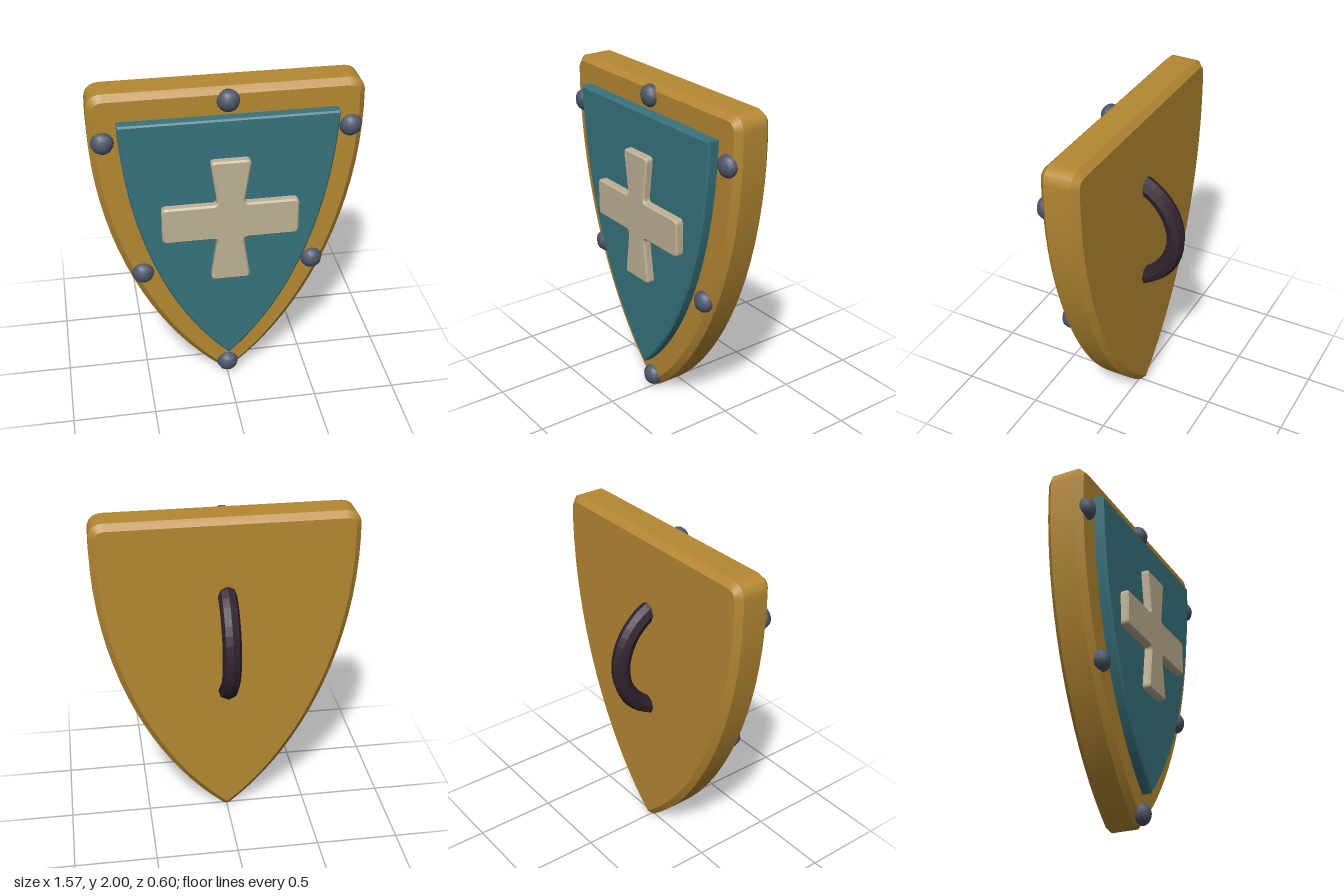
import * as THREE from 'three';
import { toCreasedNormals } from 'three/addons/utils/BufferGeometryUtils.js';

function material(name, color) {
  const m = new THREE.MeshStandardMaterial({ color });
  m.name = name;
  return m;
}

// Bevelled slab whose outer outline is the shape, spanning z0 to z1
function slab(shape, z0, z1, bevel, bevelBack) {
  const g = new THREE.ExtrudeGeometry(shape, {
    depth: z1 - z0 - bevel * (bevelBack ? 2 : 1), curveSegments: 18,
    bevelThickness: bevel, bevelSize: bevel, bevelOffset: -bevel, bevelSegments: 1,
  });
  g.translate(0, 0, z0 + (bevelBack ? bevel : 0));
  return toCreasedNormals(g, 0.45);
}

// Polygon with every corner rounded by radius r
function roundedShape(points, r) {
  const s = new THREE.Shape();
  points.forEach(([x, y], i) => {
    const p = new THREE.Vector2(x, y);
    const toward = ([a, b]) => new THREE.Vector2(a, b).sub(p).setLength(r).add(p);
    const a = toward(points[(i + points.length - 1) % points.length]);
    const b = toward(points[(i + 1) % points.length]);
    if (i === 0) s.moveTo(a.x, a.y); else s.lineTo(a.x, a.y);
    s.quadraticCurveTo(x, y, b.x, b.y);
  });
  s.closePath();
  return s;
}

export function createModel() {
  const group = new THREE.Group();
  const gold = material('gold', 0xb58832);
  const teal = material('teal', 0x37737d);
  const cream = material('cream', 0xbfb195);
  const steel = material('steel', 0x4f586a);
  const leather = material('dark leather', 0x32232f);
  const add = (name, geometry, mat) => {
    const mesh = new THREE.Mesh(geometry, mat);
    mesh.name = name;
    group.add(mesh);
    return mesh;
  };

  // Body: flat top with rounded shoulders, curved sides, blunt tip
  const body = new THREE.Shape();
  body.moveTo(-0.69, 2);
  body.lineTo(0.69, 2);
  body.bezierCurveTo(0.75, 2, 0.783, 1.965, 0.784, 1.91);
  body.lineTo(0.786, 1.82);
  body.bezierCurveTo(0.786, 1.07, 0.46, 0.37, 0.03, 0.015);
  body.quadraticCurveTo(0, -0.015, -0.03, 0.015);
  body.bezierCurveTo(-0.46, 0.37, -0.786, 1.07, -0.786, 1.82);
  body.lineTo(-0.784, 1.91);
  body.bezierCurveTo(-0.783, 1.965, -0.75, 2, -0.69, 2);
  add('body', slab(body, -0.045, 0.188, 0.036, true), gold);

  // Raised coloured field
  const field = new THREE.Shape();
  field.moveTo(-0.627, 1.842);
  field.lineTo(0.627, 1.842);
  field.bezierCurveTo(0.605, 1.15, 0.36, 0.54, 0, 0.2);
  field.bezierCurveTo(-0.36, 0.54, -0.605, 1.15, -0.627, 1.842);
  add('field', slab(field, 0.17, 0.253, 0.01, false), teal);

  // Cross with flared upright
  const w = 0.118, n = 0.077, a = 0.4, t = 1.32, b = 1.09;
  const cross = roundedShape([
    [-w, 1.602], [-n, t], [-a, t], [-a, b], [-n, b], [-w, 0.805],
    [w, 0.805], [n, b], [a, b], [a, t], [n, t], [w, 1.602],
  ], 0.03);
  add('cross', slab(cross, 0.24, 0.3, 0.01, false), cream);

  // Domed rivets around the rim
  const dome = new THREE.SphereGeometry(0.067, 10, 8);
  const rivets = [[0, 1.925], [0.705, 1.72], [-0.705, 1.72], [0.513, 0.83], [-0.513, 0.83], [0, 0.085]];
  for (const [x, y] of rivets) {
    const rivet = add('rivet', dome, steel);
    rivet.position.set(x, y, 0.185);
    rivet.scale.z = 0.82;
  }

  // Back handle: arc whose ends sink into the body
  const arc = 2.5;
  const loop = new THREE.TorusGeometry(0.36, 0.057, 8, 18, arc).toNonIndexed();
  loop.computeVertexNormals();
  loop.rotateZ(-arc / 2);
  loop.rotateY(Math.PI / 2);
  add('handle', loop, leather).position.set(0, 1.2, 0.12);

  return group;
}
